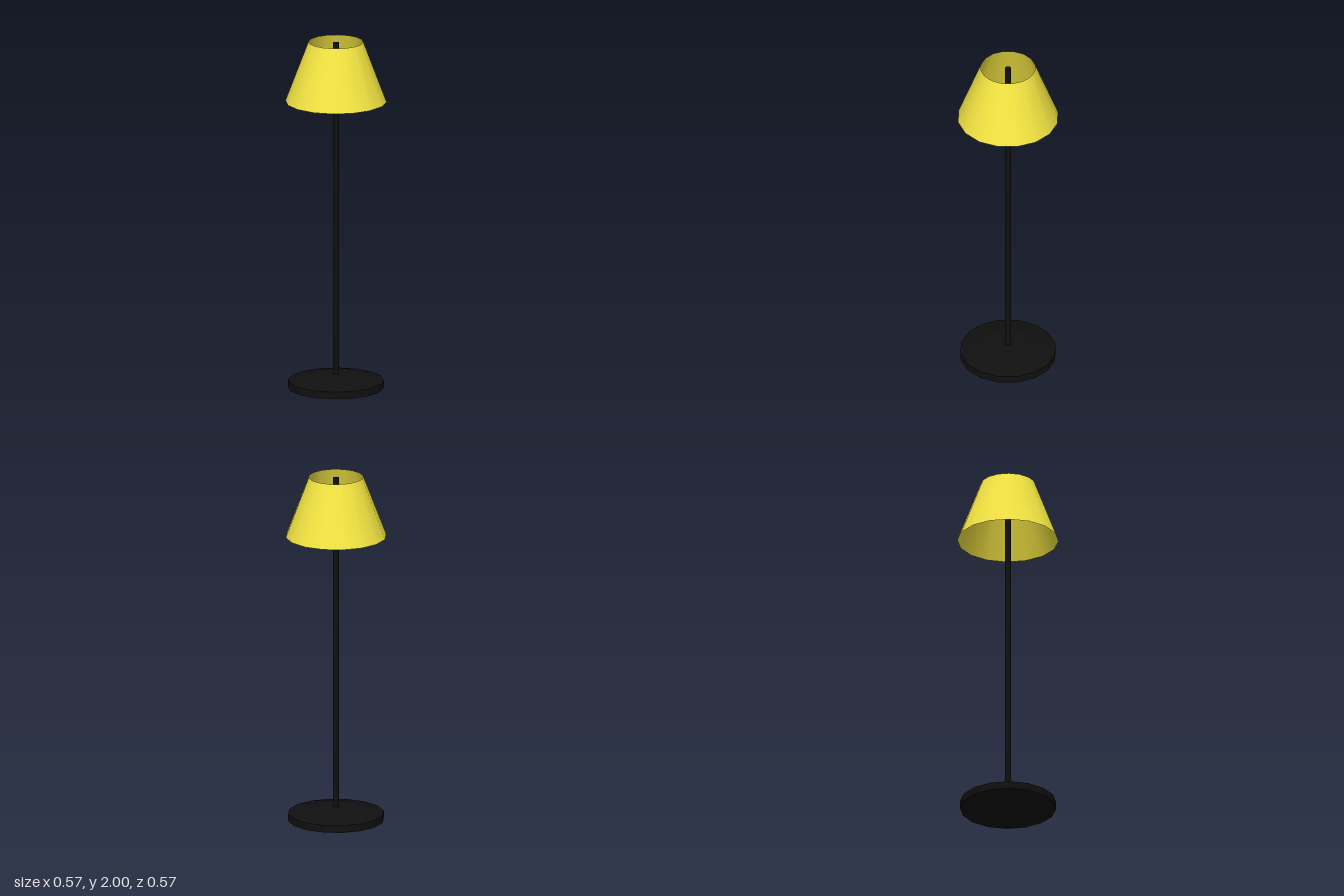
import * as THREE from 'three';

const SIDES = 16;

export function createModel() {
  const lamp = new THREE.Group();
  lamp.name = 'floorLamp';

  const black = new THREE.MeshStandardMaterial({ color: 0x101010, flatShading: true });
  const yellow = new THREE.MeshStandardMaterial({ color: 0xf5e642, side: THREE.DoubleSide });

  const add = (name, geometry, material, y = 0) => {
    const mesh = new THREE.Mesh(geometry, material);
    mesh.name = name;
    mesh.position.y = y;
    lamp.add(mesh);
  };

  // Weighted foot: short rim, sloped shoulder, flat top, closed underneath
  const profile = [[0, 0], [0.27, 0], [0.27, 0.042], [0.118, 0.079], [0, 0.079]]
    .map(([r, y]) => new THREE.Vector2(r, y));
  add('base', new THREE.LatheGeometry(profile, SIDES), black);

  // Slim pole running from the foot up to the shade's upper rim
  const bottom = 0.07, top = 1.995;
  add('pole', new THREE.CylinderGeometry(0.018, 0.018, top - bottom, SIDES), black, (top + bottom) / 2);

  // Tapered shade, open at both ends
  add('shade', new THREE.CylinderGeometry(0.154, 0.284, 0.345, SIDES, 1, true), yellow, 1.8275);

  return lamp;
}
